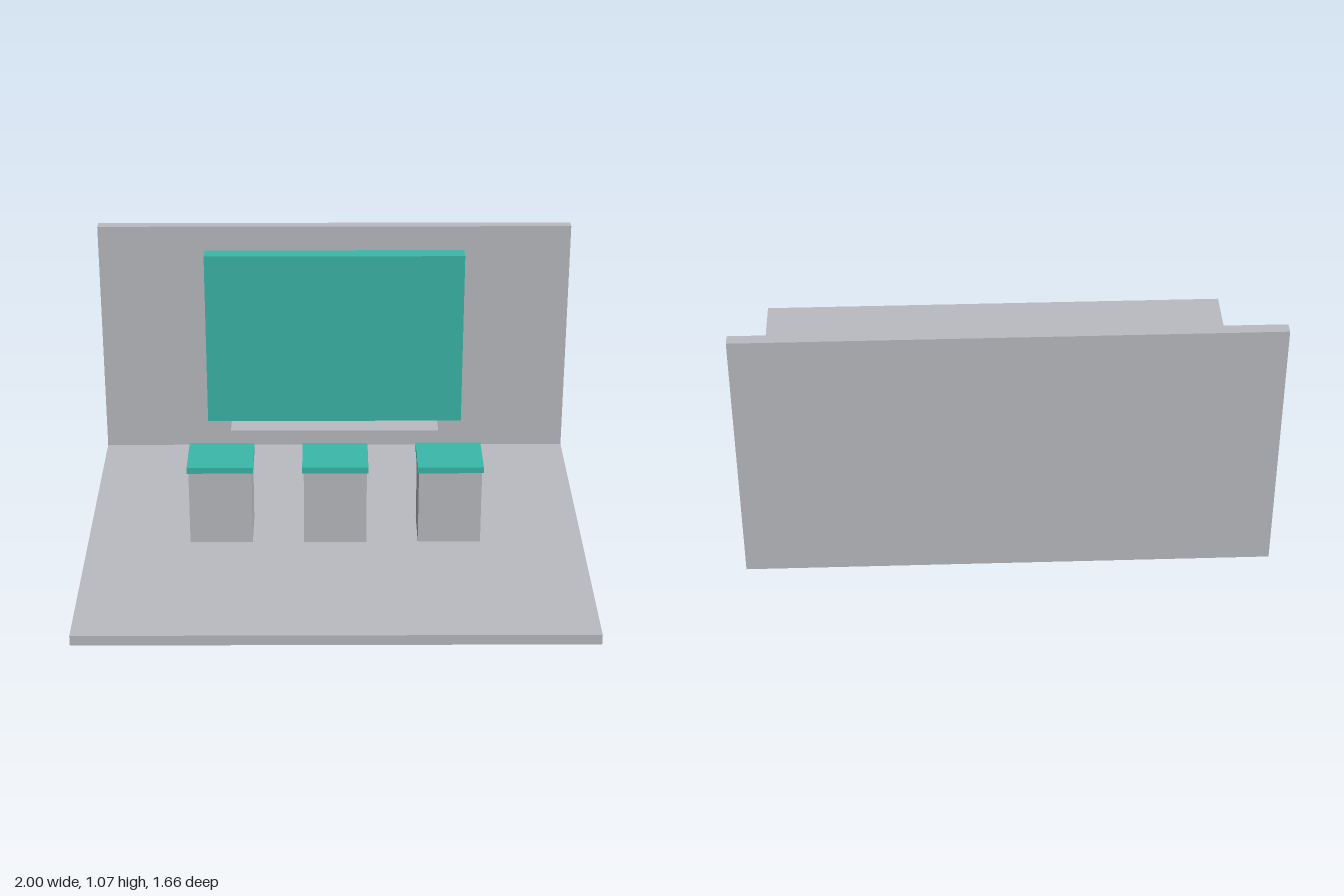
import * as THREE from 'three';

export function createModel() {
  const model = new THREE.Group();
  model.name = 'presentationStage';

  const grey = new THREE.MeshStandardMaterial({ name: 'lightGrey', color: 0xb9bcc1 });
  const teal = new THREE.MeshStandardMaterial({ name: 'teal', color: 0x3bb8a9 });

  // Box given by its extents along each axis
  function block(parent, name, material, [x0, x1], [y0, y1], [z0, z1]) {
    const mesh = new THREE.Mesh(new THREE.BoxGeometry(x1 - x0, y1 - y0, z1 - z0), material);
    mesh.position.set((x0 + x1) / 2, (y0 + y1) / 2, (z0 + z1) / 2);
    mesh.name = name;
    parent.add(mesh);
  }

  // Floor and back wall
  block(model, 'floor', grey, [-1, 1], [0, 0.042], [-0.832, 0.832]);
  block(model, 'backWall', grey, [-1, 1], [0.042, 1.067], [-0.832, -0.787]);

  // Screen standing on its shelf, just clear of the wall
  block(model, 'screen', teal, [-0.55, 0.55], [0.201, 0.967], [-0.768, -0.697]);
  block(model, 'screenShelf', grey, [-0.447, 0.447], [0.137, 0.201], [-0.746, -0.6]);

  // Row of three pedestals with overhanging tops
  ['rightPedestal', 'middlePedestal', 'leftPedestal'].forEach((name, i) => {
    const pedestal = new THREE.Group();
    pedestal.name = name;
    pedestal.position.x = (i - 1) * 0.46;
    block(pedestal, 'pedestalBody', grey, [-0.126, 0.126], [0.042, 0.356], [-0.106, 0.106]);
    block(pedestal, 'pedestalTop', teal, [-0.132, 0.132], [0.356, 0.382], [-0.112, 0.112]);
    model.add(pedestal);
  });

  return model;
}
